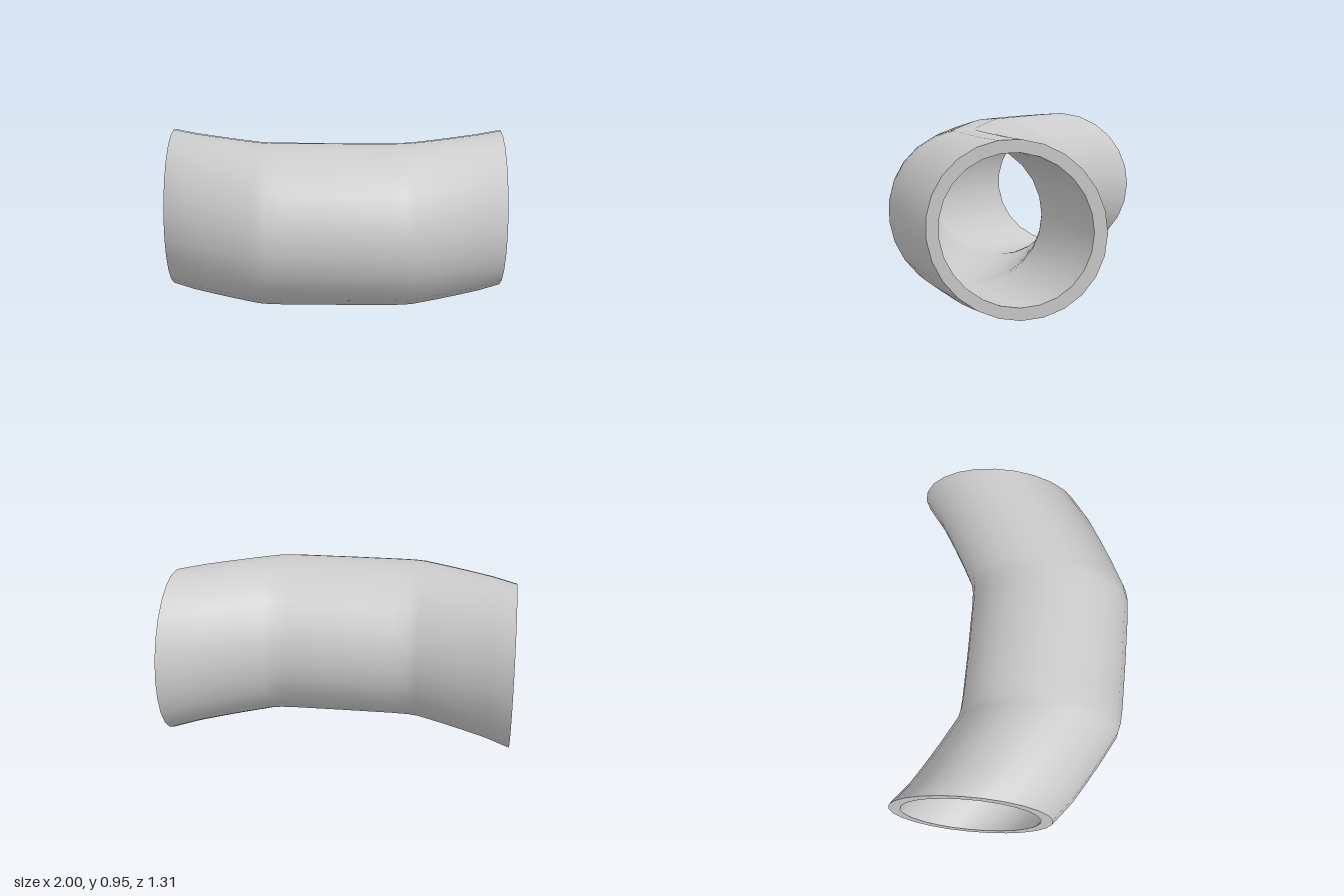
import * as THREE from 'three';

const SIDES = 25, OUTER = 0.478, INNER = 0.409, CENTRE_Y = 0.478;

// Bent centre line for the +x half: [x, z], mirrored to the other half
const HALF = [[0.3, 0.178], [0.39, 0.173], [0.45, 0.159], [0.6, 0.08], [0.73, 0.006], [0.86, -0.073], [1, -0.182]];
const PATH = [...HALF.map(([x, z]) => [-x, z]).reverse(), [0, 0.18], ...HALF];

// Skin a row of upright rings, each [x, z, radius]
function loft(rings) {
  const pos = [], index = [];
  rings.forEach(([x, z, r], i) => {
    for (let j = 0; j < SIDES; j++) {
      const t = (j / SIDES) * Math.PI * 2;
      pos.push(x, CENTRE_Y + r * Math.sin(t), z - r * Math.cos(t));
      if (i === rings.length - 1) continue;
      const k = (j + 1) % SIDES;
      const a = i * SIDES + j, d = i * SIDES + k, b = a + SIDES, c = d + SIDES;
      index.push(a, d, c, a, c, b);
    }
  });
  const g = new THREE.BufferGeometry();
  g.setAttribute('position', new THREE.Float32BufferAttribute(pos, 3));
  g.setIndex(index);
  g.computeVertexNormals();
  return g;
}

export function createModel() {
  const group = new THREE.Group();
  group.name = 'bentPipe';
  const material = new THREE.MeshStandardMaterial({ color: 0xcccccc });
  const add = (name, rings) => {
    const mesh = new THREE.Mesh(loft(rings), material);
    mesh.name = name;
    group.add(mesh);
  };

  // Walls: the bore runs in reverse order so that it faces inwards
  add('outerWall', PATH.map(([x, z]) => [x, z, OUTER]));
  add('innerWall', PATH.map(([x, z]) => [x, Math.min(z, 0.166), INNER]).reverse());

  // Flat rims closing the wall thickness at both ends
  const endZ = PATH[0][1];
  add('leftRim', [[1, endZ, OUTER], [1, endZ, INNER]]);
  add('rightRim', [[-1, endZ, INNER], [-1, endZ, OUTER]]);
  return group;
}
